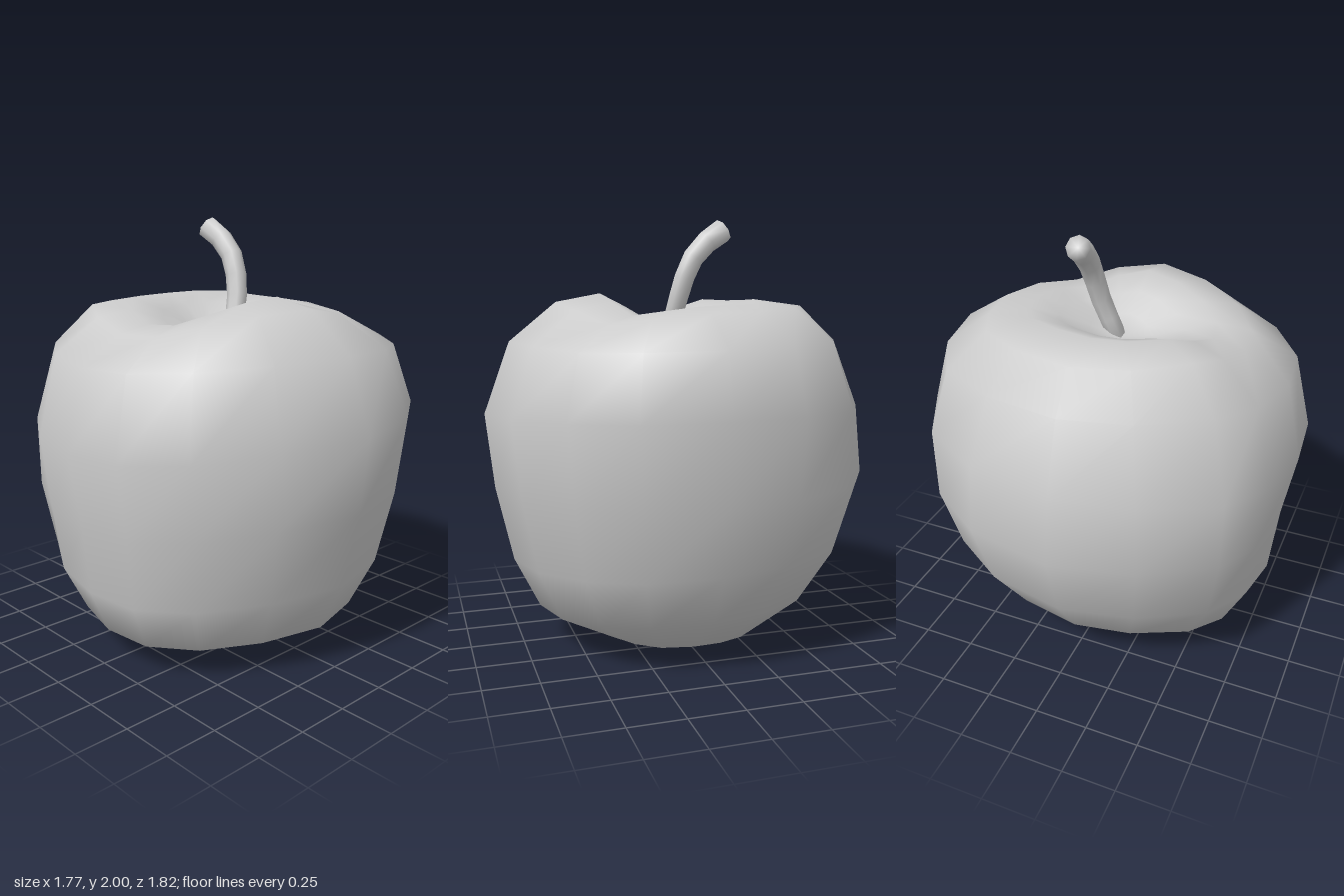
import * as THREE from 'three';
import { mergeVertices } from 'three/addons/utils/BufferGeometryUtils.js';

const material = new THREE.MeshStandardMaterial({ color: 0xcccccc });

// Skin a list of equal-length point rings with smooth normals; first and last rings are poles.
function loft(rings) {
  const n = rings[0].length;
  const index = [];
  for (let j = 0; j < rings.length - 1; j++) {
    for (let i = 0; i < n; i++) {
      const a = j * n + i, b = j * n + (i + 1) % n, c = a + n, d = b + n;
      if (j > 0) index.push(a, c, b);
      if (j < rings.length - 2) index.push(b, c, d);
    }
  }
  let geometry = new THREE.BufferGeometry().setFromPoints(rings.flat());
  geometry.setIndex(index);
  geometry = mergeVertices(geometry, 1e-5);
  geometry.computeVertexNormals();
  return geometry;
}

// Widest outline of the apple from above, [x, z], starting at the front.
const OUTLINE = [
  [-0.01, 0.905], [0.36, 0.83], [0.645, 0.645], [0.83, 0.39],
  [0.885, 0.02], [0.82, -0.33], [0.66, -0.63], [0.37, -0.83],
  [-0.04, -0.91], [-0.40, -0.79], [-0.70, -0.56], [-0.83, -0.33],
  [-0.89, -0.02], [-0.865, 0.29], [-0.70, 0.555], [-0.40, 0.77],
];

// Apple rings from top dimple to bottom dimple: [radius, height] at front, left, back, right.
const PROFILE = [
  [[0, 1.46], [0, 1.46], [0, 1.46], [0, 1.46]],
  [[0.13, 1.53], [0.14, 1.53], [0.14, 1.49], [0.15, 1.47]],
  [[0.24, 1.60], [0.28, 1.57], [0.25, 1.58], [0.30, 1.51]],
  [[0.36, 1.66], [0.42, 1.60], [0.38, 1.63], [0.45, 1.55]],
  [[0.57, 1.62], [0.60, 1.57], [0.60, 1.60], [0.60, 1.52]],
  [[0.79, 1.44], [0.82, 1.43], [0.75, 1.44], [0.81, 1.39]],
  [[0.91, 1.11], [0.89, 1.15], [0.87, 1.12], [0.89, 1.02]],
  [[0.87, 0.76], [0.84, 0.78], [0.91, 0.81], [0.83, 0.67]],
  [[0.79, 0.41], [0.78, 0.48], [0.81, 0.48], [0.80, 0.36]],
  [[0.67, 0.17], [0.66, 0.24], [0.63, 0.22], [0.71, 0.15]],
  [[0.40, 0.04], [0.36, 0.02], [0.38, 0.00], [0.46, 0.07]],
  [[0.20, 0.09], [0.20, 0.09], [0.20, 0.09], [0.22, 0.10]],
  [[0, 0.15], [0, 0.15], [0, 0.15], [0, 0.15]],
];

// Dips and swells of the upper rim: [turns from the front, height].
const RIM = [[0.125, -0.075], [0.375, 0.01], [0.64, 0.05], [0.81, -0.02]];
const RIM_WEIGHT = [0, 0.3, 0.7, 1, 1, 0.3];

function rimOffset(turn) {
  return RIM.reduce((sum, [at, height]) => {
    const d = Math.abs(turn - at);
    const gap = Math.min(d, 1 - d) / 0.12;
    return sum + (gap < 1 ? height * Math.cos(gap * Math.PI / 2) ** 2 : 0);
  }, 0);
}

function appleGeometry() {
  const blends = PROFILE.map((row) => new THREE.CatmullRomCurve3(
    row.map(([r, y]) => new THREE.Vector3(r, y, 0)), true, 'catmullrom', 0.5));
  const rings = PROFILE.map(() => []);
  OUTLINE.forEach(([x, z], i) => {
    const turn = i / OUTLINE.length;
    const section = blends.map((blend) => blend.getPoint(turn));
    const widest = Math.max(...section.map((p) => p.x));
    section.forEach((p, j) => {
      const scale = p.x / widest;
      const y = p.y + rimOffset(turn) * (RIM_WEIGHT[j] ?? 0);
      rings[j].push(new THREE.Vector3(x * scale, Math.max(0, y), z * scale));
    });
  });
  return loft(rings);
}

// Bent, slightly thickening stem with closed ends.
function stemGeometry() {
  const path = new THREE.CatmullRomCurve3([
    new THREE.Vector3(0.025, 1.45, 0.03),
    new THREE.Vector3(0.09, 1.62, 0.005),
    new THREE.Vector3(0.118, 1.81, -0.055),
    new THREE.Vector3(0.115, 1.905, -0.14),
    new THREE.Vector3(0.102, 1.953, -0.215),
  ]);
  const steps = 6, sides = 8;
  const { normals, binormals } = path.computeFrenetFrames(steps);
  const rings = [];
  for (let j = 0; j <= steps; j++) {
    const centre = path.getPointAt(j / steps);
    const radius = 0.044 + 0.012 * j / steps;
    const ring = Array.from({ length: sides }, (_, i) => {
      const a = -i / sides * Math.PI * 2;
      return centre.clone()
        .addScaledVector(normals[j], Math.cos(a) * radius)
        .addScaledVector(binormals[j], Math.sin(a) * radius);
    });
    const pole = ring.map(() => centre.clone());
    if (j === 0) rings.push(pole);
    rings.push(ring);
    if (j === steps) rings.push(pole);
  }
  return loft(rings);
}

export function createModel() {
  const group = new THREE.Group();
  group.name = 'apple';

  const body = new THREE.Mesh(appleGeometry(), material);
  body.name = 'appleBody';

  const stem = new THREE.Mesh(stemGeometry(), material);
  stem.name = 'stem';

  group.add(body, stem);
  return group;
}
